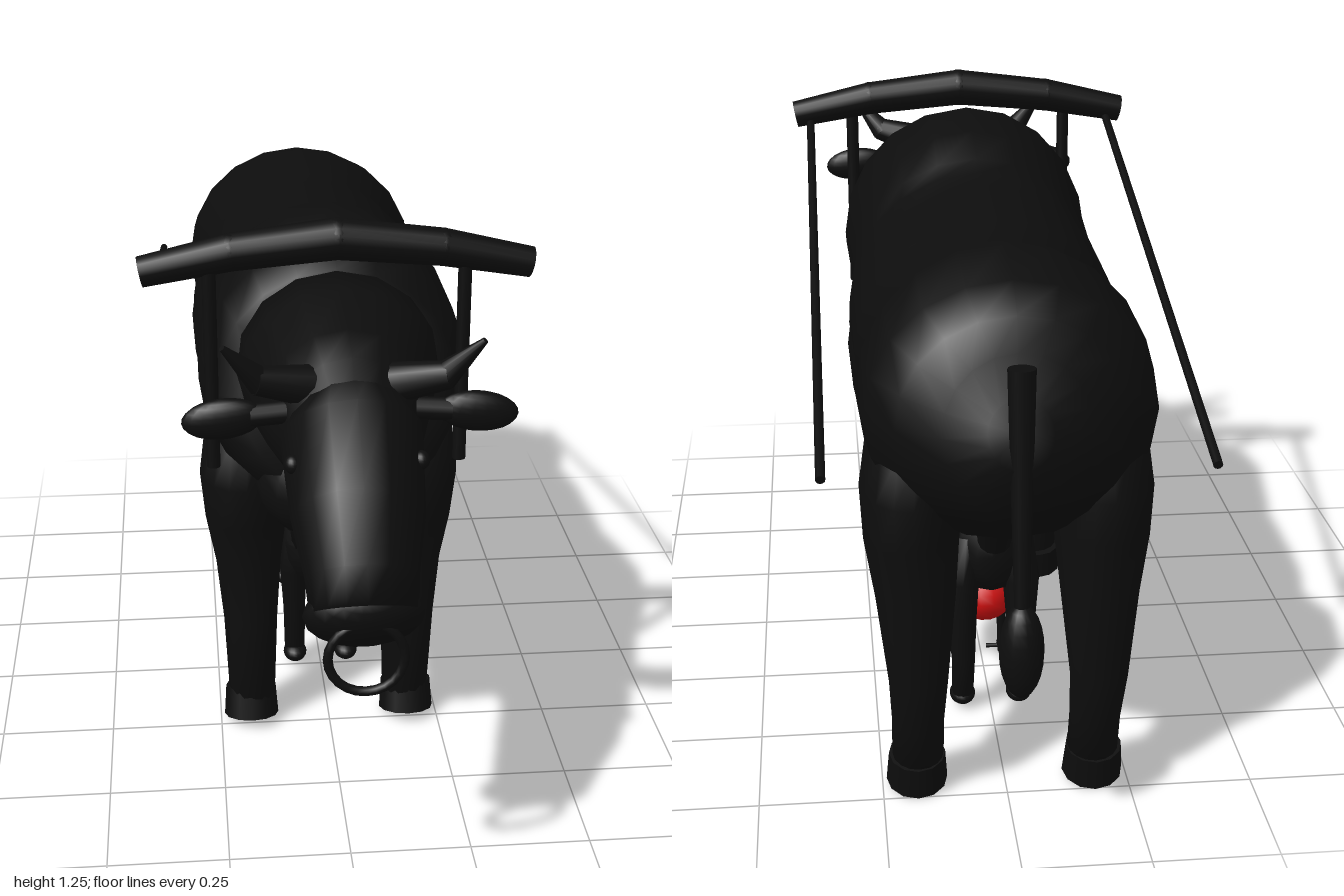
import * as THREE from 'three';

const black = new THREE.MeshStandardMaterial({ color: 0x0d0d0d });
black.name = 'black';
const red = new THREE.MeshStandardMaterial({ color: 0xcc1010 });
red.name = 'red';

// Skin of elliptical rings [x, y, z, halfWidth, halfDepth] along a path in the yz plane
function loft(rings, n = 16) {
  const pos = [], idx = [], X = new THREE.Vector3(1, 0, 0);
  rings.forEach((r, i) => {
    const p = rings[Math.max(i - 1, 0)], q = rings[Math.min(i + 1, rings.length - 1)];
    const T = new THREE.Vector3(0, q[1] - p[1], q[2] - p[2]).normalize();
    const N = T.cross(X);
    for (let j = 0; j < n; j++) {
      const a = (j / n) * Math.PI * 2, s = Math.sin(a) * r[4];
      pos.push(r[0] + Math.cos(a) * r[3], r[1] + N.y * s, r[2] + N.z * s);
    }
  });
  const last = rings.length - 1, c0 = rings.length * n;
  pos.push(...rings[0].slice(0, 3), ...rings[last].slice(0, 3));
  for (let j = 0; j < n; j++) {
    const k = (j + 1) % n;
    for (let i = 0; i < last; i++) {
      const a = i * n + j, b = i * n + k;
      idx.push(a, b, b + n, a, b + n, a + n);
    }
    idx.push(c0, k, j, c0 + 1, last * n + j, last * n + k);
  }
  const g = new THREE.BufferGeometry();
  g.setAttribute('position', new THREE.Float32BufferAttribute(pos, 3));
  g.setIndex(idx);
  g.computeVertexNormals();
  return g;
}

export function createModel() {
  const model = new THREE.Group();

  function add(parent, name, geo, mat = black) {
    const m = new THREE.Mesh(geo, mat);
    m.name = name;
    parent.add(m);
    return m;
  }
  function rod(parent, name, a, b, ra, rb = ra, n = 12) {
    const A = new THREE.Vector3(...a), d = new THREE.Vector3(...b).sub(A), len = d.length();
    const m = add(parent, name, new THREE.CylinderGeometry(rb, ra, len, n));
    m.position.copy(A).addScaledVector(d, 0.5);
    m.quaternion.setFromUnitVectors(new THREE.Vector3(0, 1, 0), d.normalize());
    return m;
  }
  function ball(parent, name, p, s, mat = black) {
    const m = add(parent, name, new THREE.SphereGeometry(1, 18, 12), mat);
    m.position.set(...p);
    m.scale.set(...s);
    return m;
  }
  function group(name) {
    const g = new THREE.Group();
    g.name = name;
    model.add(g);
    return g;
  }

  // Ox trunk: [z, top, bottom, halfWidth]
  const ox = group('ox');
  const trunk = [
    [-0.92, 0.93, 0.8, 0.06], [-0.885, 1.0, 0.7, 0.14], [-0.84, 1.06, 0.64, 0.22], [-0.77, 1.105, 0.59, 0.275],
    [-0.65, 1.135, 0.565, 0.285], [-0.53, 1.105, 0.555, 0.255], [-0.4, 1.115, 0.55, 0.28],
    [-0.18, 1.125, 0.535, 0.285], [-0.04, 1.13, 0.545, 0.28], [0.02, 1.17, 0.55, 0.272],
    [0.1, 1.2, 0.56, 0.27], [0.2, 1.215, 0.58, 0.28], [0.3, 1.185, 0.6, 0.28], [0.4, 1.15, 0.64, 0.25], [0.44, 1.11, 0.7, 0.2],
  ];
  add(ox, 'oxBody', loft(trunk.map(([z, t, b, w]) => [0, (t + b) / 2, z, w, (t - b) / 2]), 20));
  ball(ox, 'brisket', [0, 0.7, 0.4], [0.17, 0.13, 0.135]);
  rod(ox, 'sheath', [0, 0.57, -0.54], [0, 0.44, -0.475], 0.05, 0.035);

  // Neck and head
  add(ox, 'oxNeck', loft([
    [0, 0.95, 0.33, 0.22, 0.2], [0, 0.95, 0.45, 0.2, 0.19],
    [0, 0.935, 0.6, 0.165, 0.175], [0, 0.93, 0.68, 0.14, 0.155], [0, 0.92, 0.75, 0.1, 0.1],
  ]));
  add(ox, 'oxHead', loft([
    [0, 0.99, 0.63, 0.09, 0.09], [0, 0.925, 0.7, 0.135, 0.155], [0, 0.825, 0.83, 0.125, 0.135],
    [0, 0.74, 0.905, 0.105, 0.105], [0, 0.69, 0.945, 0.1, 0.09],
  ]));
  const muzzle = ball(ox, 'muzzle', [0, 0.68, 0.935], [0.112, 0.085, 0.055]);
  muzzle.rotation.x = 0.7;
  add(ox, 'noseRing', new THREE.TorusGeometry(0.07, 0.009, 8, 24)).position.set(0, 0.62, 0.988);

  // Tail
  rod(ox, 'tail', [0, 0.99, -0.915], [0, 0.53, -0.955], 0.026, 0.014);
  ball(ox, 'tailTuft', [0, 0.455, -0.955], [0.042, 0.096, 0.042]);

  for (const s of [1, -1]) {
    rod(ox, 'hornBase', [s * 0.08, 1.025, 0.68], [s * 0.18, 1.05, 0.71], 0.04, 0.027);
    rod(ox, 'hornTip', [s * 0.17, 1.045, 0.705], [s * 0.24, 1.125, 0.735], 0.028, 0.006);
    const ear = ball(ox, 'ear', [s * 0.24, 0.965, 0.685], [0.078, 0.04, 0.025]);
    ear.rotation.z = s * -0.1;
    rod(ox, 'earRoot', [s * 0.1, 0.975, 0.68], [s * 0.19, 0.97, 0.685], 0.022);
    ball(ox, 'eye', [s * 0.118, 0.92, 0.8], [0.016, 0.018, 0.018]);

    // Legs
    add(ox, 'frontLeg', loft([
      [s * 0.17, 0.8, 0.21, 0.05, 0.05], [s * 0.18, 0.74, 0.21, 0.09, 0.09], [s * 0.185, 0.64, 0.215, 0.098, 0.115],
      [s * 0.183, 0.53, 0.21, 0.09, 0.092], [s * 0.18, 0.42, 0.215, 0.072, 0.068],
      [s * 0.178, 0.28, 0.227, 0.06, 0.056], [s * 0.177, 0.08, 0.222, 0.052, 0.05],
    ]));
    rod(ox, 'frontHoof', [s * 0.18, 0.025, 0.228], [s * 0.18, 0.092, 0.212], 0.062, 0.057);
    add(ox, 'hindLeg', loft([
      [s * 0.17, 0.86, -0.69, 0.06, 0.08], [s * 0.18, 0.78, -0.69, 0.09, 0.13], [s * 0.187, 0.68, -0.69, 0.097, 0.152],
      [s * 0.185, 0.57, -0.7, 0.093, 0.14], [s * 0.18, 0.46, -0.735, 0.078, 0.085],
      [s * 0.178, 0.29, -0.765, 0.058, 0.052], [s * 0.178, 0.18, -0.73, 0.052, 0.048], [s * 0.178, 0.08, -0.705, 0.052, 0.052],
    ]));
    rod(ox, 'hindHoof', [s * 0.18, 0.022, -0.694], [s * 0.18, 0.09, -0.708], 0.062, 0.057);
  }

  // Yoke beam, its pegs and the sloping shafts
  const yoke = group('yoke');
  const beam = [[-0.39, 1.16], [-0.21, 1.196], [0, 1.218], [0.21, 1.196], [0.39, 1.16]];
  const beamR = [0.031, 0.038, 0.042, 0.038, 0.031];
  for (let i = 0; i < 4; i++)
    rod(yoke, 'yokeBeam', [...beam[i], 0.395], [...beam[i + 1], 0.395], beamR[i], beamR[i + 1], 16);
  for (let i = 1; i < 4; i++) ball(yoke, 'beamJoint', [...beam[i], 0.395], Array(3).fill(beamR[i]));
  for (const s of [1, -1]) {
    rod(yoke, 'yokePeg', [s * 0.255, 1.18, 0.405], [s * 0.255, 0.74, 0.405], 0.014);
    rod(yoke, 'shaft', [s * 0.355, 1.15, 0.395], [s * 0.355, 0.795, -0.92], 0.009);
  }

  // Dog standing beneath the ox, its neck raised to the belly
  const dog = group('dog');
  add(dog, 'dogBody', loft([
    [0, 0.39, -0.455, 0.035, 0.05], [0, 0.39, -0.43, 0.075, 0.09], [0, 0.39, -0.36, 0.088, 0.105],
    [0, 0.395, -0.25, 0.08, 0.09], [0, 0.375, -0.13, 0.09, 0.12], [0, 0.36, -0.03, 0.1, 0.135],
    [0, 0.36, 0.035, 0.085, 0.11], [0, 0.37, 0.07, 0.04, 0.05],
  ]));
  add(dog, 'dogNeck', loft([
    [0, 0.36, -0.01, 0.09, 0.09], [0, 0.44, 0.02, 0.085, 0.075], [0, 0.52, 0.06, 0.07, 0.062], [0, 0.6, 0.1, 0.065, 0.06],
  ]));
  for (const s of [1, -1]) {
    add(dog, 'dogFrontLeg', loft([
      [s * 0.06, 0.4, 0, 0.035, 0.05], [s * 0.065, 0.28, -0.005, 0.032, 0.042],
      [s * 0.063, 0.16, -0.015, 0.026, 0.028], [s * 0.062, 0.03, -0.02, 0.024, 0.024],
    ], 12));
    ball(dog, 'dogFrontPaw', [s * 0.062, 0.04, -0.013], [0.028, 0.022, 0.036]);
    add(dog, 'dogHindLeg', loft([
      [s * 0.055, 0.42, -0.39, 0.035, 0.05], [s * 0.065, 0.32, -0.405, 0.04, 0.06], [s * 0.064, 0.23, -0.42, 0.032, 0.04],
      [s * 0.062, 0.14, -0.438, 0.025, 0.026], [s * 0.062, 0.035, -0.415, 0.023, 0.023],
    ], 12));
    ball(dog, 'dogHindPaw', [s * 0.062, 0.04, -0.408], [0.028, 0.022, 0.036]);
  }

  // Bird beneath the dog
  const bird = group('bird');
  ball(bird, 'birdBody', [0, 0.212, -0.2], [0.085, 0.08, 0.14], red);
  for (const s of [1, -1]) {
    const wing = ball(bird, 'birdWing', [s * 0.085, 0.238, -0.235], [0.034, 0.053, 0.1], red);
    wing.rotation.x = 0.18;
    rod(bird, 'birdLeg', [s * 0.045, 0.022, -0.205], [s * 0.045, 0.18, -0.205], 0.008, 0.012, 8);
    rod(bird, 'birdFoot', [s * 0.045, 0.022, -0.16], [s * 0.045, 0.022, -0.24], 0.006, 0.006, 8);
    rod(bird, 'birdToes', [s * 0.013, 0.022, -0.18], [s * 0.077, 0.022, -0.18], 0.005, 0.005, 8);
  }
  return model;
}
